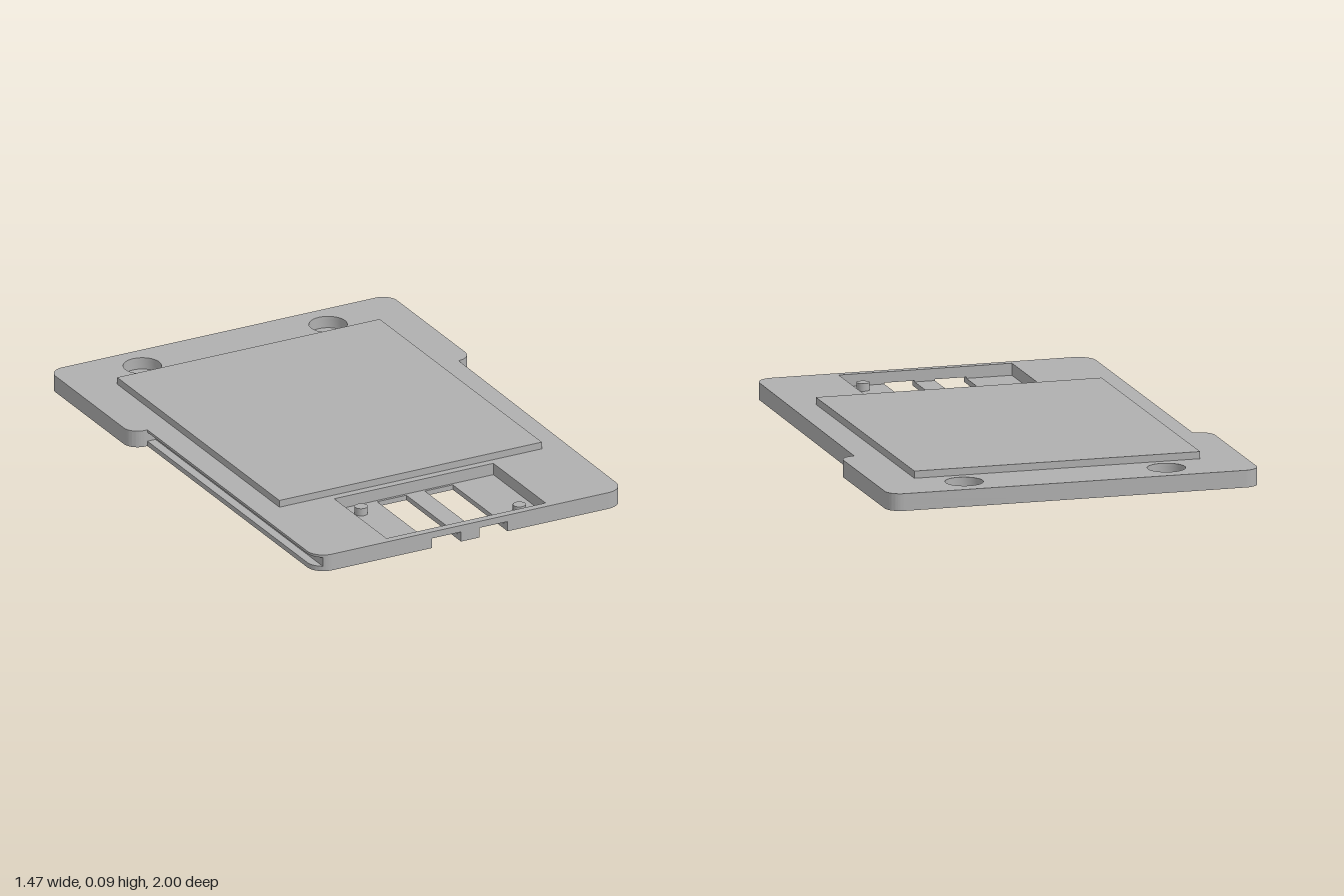
import * as THREE from 'three';
import { toCreasedNormals } from 'three/addons/utils/BufferGeometryUtils.js';

const FLOOR = 0.02, GROOVE_TOP = 0.057, TOP = 0.067, PANEL_TOP = 0.095;
const POCKET = { x0: -0.345, x1: 0.34, z0: 0.555, z1: 0.97 };
const SLOTS = [[-0.165, -0.04], [0.04, 0.16]];

// Plate outline in (x, z); front lists extra points along the front edge, left to right
function outline(front = [], grooved = false) {
  const s = new THREE.Shape(), P = Math.PI;
  s.moveTo(0.665, -0.34);
  s.absarc(0.675, -0.4, 0.06, P / 2, 0, true);
  s.absarc(0.675, -0.94, 0.06, 0, -P / 2, true);
  s.absarc(-0.675, -0.94, 0.06, -P / 2, -P, true);
  s.absarc(-0.675, -0.4, 0.06, P, P / 2, true);
  s.lineTo(grooved ? -0.63 : -0.665, -0.34);
  s.absarc(-0.595, 0.93, 0.07, grooved ? P * 2 / 3 : P, P / 2, true);
  front.forEach(([x, z]) => s.lineTo(x, z));
  s.absarc(0.595, 0.93, 0.07, P / 2, 0, true);
  s.closePath();
  return s;
}

// Round holes near the back edge
function addScrewHoles(shape, radius) {
  for (const x of [-0.4, 0.4]) {
    shape.holes.push(new THREE.Path().absarc(x, -0.87, radius, 0, Math.PI * 2, false));
  }
  return shape;
}

// Extrude an (x, z) shape upwards from y0 to y1
function slab(shape, y0, y1) {
  const g = new THREE.ExtrudeGeometry(shape, { depth: y1 - y0, bevelEnabled: false, curveSegments: 16 });
  g.rotateX(Math.PI / 2).translate(0, y1, 0);
  return toCreasedNormals(g, 0.6);
}

function block(x0, x1, y0, y1, z0, z1) {
  return new THREE.BoxGeometry(x1 - x0, y1 - y0, z1 - z0)
    .translate((x0 + x1) / 2, (y0 + y1) / 2, (z0 + z1) / 2);
}

export function createModel() {
  const group = new THREE.Group();
  const grey = new THREE.MeshStandardMaterial({ color: 0xb0b0b0 });
  grey.name = 'grey plastic';
  const add = (name, geometry) => {
    const mesh = new THREE.Mesh(geometry, grey);
    mesh.name = name;
    group.add(mesh);
  };
  const { x0, x1, z0, z1 } = POCKET;

  // Bottom layer, with two slots open at the front
  const slotPath = SLOTS.flatMap(([a, b]) => [[a, 1], [a, 0.565], [b, 0.565], [b, 1]]);
  add('basePlate', slab(addScrewHoles(outline(slotPath), 0.03), 0, FLOOR));

  // Middle layer, with the side groove and the pocket
  const a = SLOTS[0][0], b = SLOTS[1][1];
  const pocketPath = [[a, 1], [a, z1], [x0, z1], [x0, z0], [x1, z0], [x1, z1], [b, z1], [b, 1]];
  add('groovedPlate', slab(addScrewHoles(outline(pocketPath, true), 0.073), FLOOR, GROOVE_TOP));

  // Top layer, with the closed pocket opening
  const cover = addScrewHoles(outline(), 0.073);
  cover.holes.push(new THREE.Path([[x0, z0], [x1, z0], [x1, z1], [x0, z1]]
    .map(([x, z]) => new THREE.Vector2(x, z))));
  add('topPlate', slab(cover, GROOVE_TOP, TOP));

  // Front lip: solid centre and a sloped bridge over each slot
  add('frontLip', block(SLOTS[0][1], SLOTS[1][0], FLOOR, GROOVE_TOP, z1, 1));
  for (const [s0, s1] of SLOTS) {
    const profile = new THREE.Shape([[-z1, 0.025], [-z1, GROOVE_TOP], [-1, GROOVE_TOP], [-1, 0.04]]
      .map(([x, y]) => new THREE.Vector2(x, y)));
    const g = new THREE.ExtrudeGeometry(profile, { depth: s1 - s0, bevelEnabled: false });
    add('slotBridge', g.rotateY(Math.PI / 2).translate(s0, 0, 0));
  }

  // Locating pegs in the pocket
  for (const [x, z] of [[-0.27, 0.63], [0.265, 0.9]]) {
    add('peg', new THREE.CylinderGeometry(0.025, 0.025, 0.03, 24).translate(x, FLOOR + 0.015, z));
  }

  // Raised rectangular panel
  add('raisedPanel', block(-0.565, 0.565, TOP, PANEL_TOP, -0.765, 0.525));
  return group;
}
